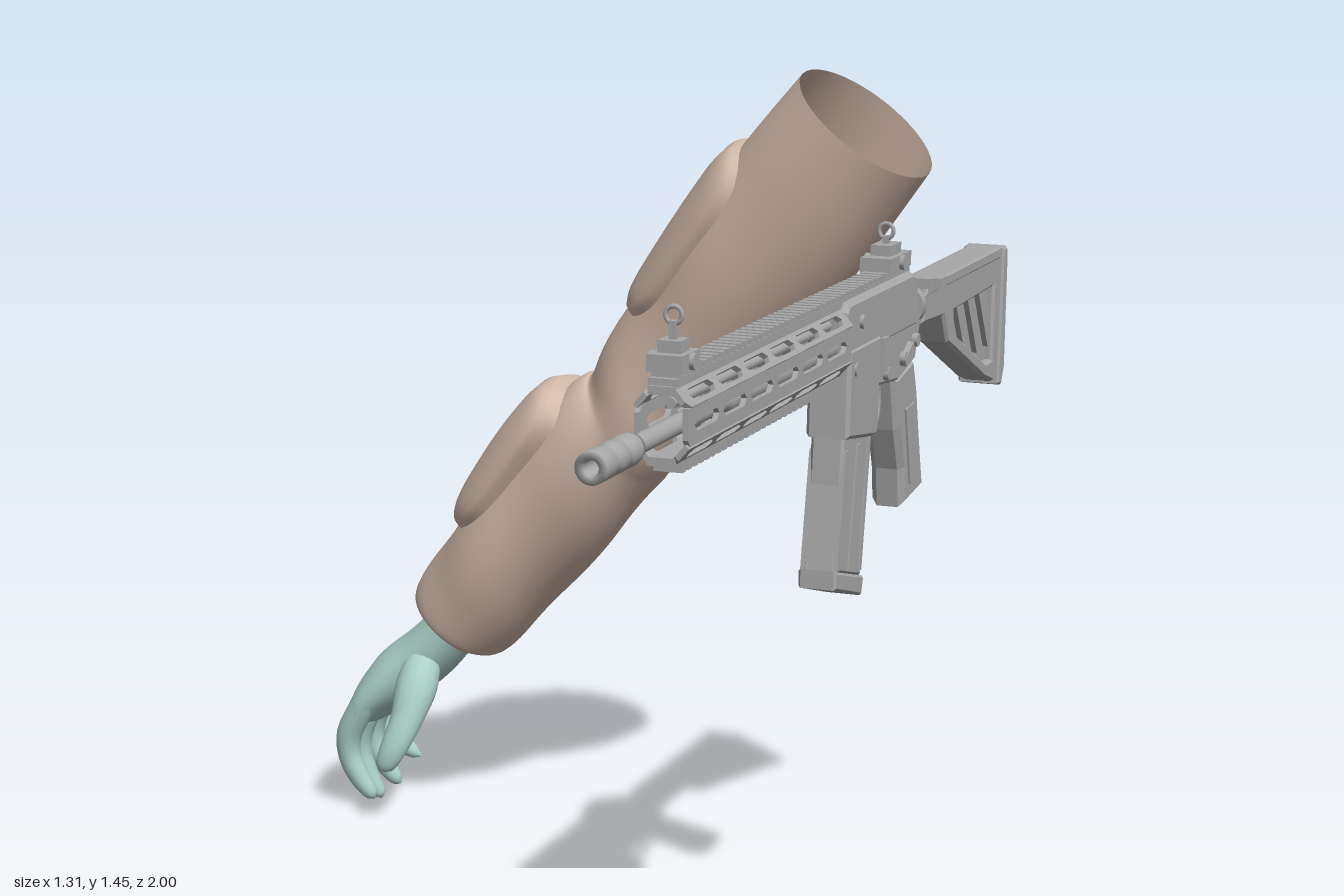
import * as THREE from 'three';

const mat = (name, color, side = THREE.FrontSide) => {
  const m = new THREE.MeshStandardMaterial({ color, side });
  m.name = name;
  return m;
};

// Closed ring grid: fn(u 0..1, angle) -> Vector3, smooth across the seam
function ringGrid(fn, rows, cols) {
  const pos = [], idx = [];
  for (let i = 0; i <= rows; i++)
    for (let j = 0; j < cols; j++) pos.push(...fn(i / rows, (j / cols) * Math.PI * 2).toArray());
  for (let i = 0; i < rows; i++)
    for (let j = 0; j < cols; j++) {
      const k = (j + 1) % cols, a = i * cols + j, b = i * cols + k, c = b + cols, d = a + cols;
      idx.push(a, b, c, a, c, d);
    }
  const g = new THREE.BufferGeometry();
  g.setAttribute('position', new THREE.Float32BufferAttribute(pos, 3));
  g.setIndex(idx);
  g.computeVertexNormals();
  return g;
}

// Surface through elliptical stations [x, y, z, radius, radius along z]
function loft(stations) {
  const path = new THREE.CatmullRomCurve3(stations.map(s => new THREE.Vector3(s[0], s[1], s[2])), false, 'catmullrom');
  const radii = new THREE.CatmullRomCurve3(stations.map(s => new THREE.Vector3(s[3], s[4], 0)), false, 'catmullrom');
  return (t, a, extra = 0) => {
    const d = path.getTangent(t), r = radii.getPoint(t);
    const n = new THREE.Vector3(0, 0, 1).cross(d).normalize(), b = d.clone().cross(n);
    return path.getPoint(t)
      .addScaledVector(n, Math.cos(a) * (Math.max(r.x, 0) + extra))
      .addScaledVector(b, Math.sin(a) * (Math.max(r.y, 0) + extra));
  };
}

function buildArm(cloth, skin) {
  const arm = new THREE.Group();
  arm.name = 'arm';
  const add = (name, geo, m) => {
    const mesh = new THREE.Mesh(geo, m);
    mesh.name = name;
    arm.add(mesh);
  };

  // Sleeve stations: distance up the arm, outer edge, inner edge, z centre, z radius
  const rows = [
    [-0.012, 0.06, -0.055, -0.86, 0.075], [-0.008, 0.085, -0.08, -0.86, 0.095], [0.012, 0.107, -0.1, -0.86, 0.113],
    [0.1, 0.12, -0.107, -0.855, 0.123], [0.22, 0.125, -0.113, -0.85, 0.133], [0.37, 0.13, -0.122, -0.85, 0.143],
    [0.5, 0.118, -0.126, -0.85, 0.146], [0.565, 0.1, -0.128, -0.85, 0.143], [0.66, 0.122, -0.137, -0.85, 0.144],
    [0.81, 0.133, -0.152, -0.84, 0.145], [0.96, 0.14, -0.158, -0.82, 0.147], [1.12, 0.142, -0.155, -0.805, 0.145],
    [1.28, 0.136, -0.145, -0.79, 0.14]];
  const sleeve = loft(rows.map(([s, o, i, z, rz]) => {
    const c = (o + i) / 2;
    return [-0.425 + 0.625 * s - 0.78 * c, 0.37 + 0.78 * s + 0.625 * c, z, (o - i) / 2, rz];
  }));
  const folds = (t, a) => Math.sin(Math.PI * t) * (0.004 * Math.sin(3 * a + 14 * t) + 0.003 * Math.sin(38 * t + 2 * a));
  add('sleeve', ringGrid((t, a) => sleeve(t, a, folds(t, a)), 72, 40), cloth);

  // Raised pads on the outside of the upper arm and forearm
  const toT = s => {
    let i = 2;
    while (i < rows.length - 2 && rows[i + 1][0] < s) i++;
    return (i + (s - rows[i][0]) / (rows[i + 1][0] - rows[i][0])) / (rows.length - 1);
  };
  const soft = v => Math.sign(v) * Math.sqrt(Math.abs(v));
  for (const [name, mid, half, height, rise] of [['upperArmPad', 0.92, 0.195, 0.024, 0.004], ['forearmPad', 0.345, 0.168, 0.04, 0.011]])
    add(name, ringGrid((p, a) => {
      const u = p * soft(Math.cos(a)), v = p * soft(Math.sin(a));
      const lift = (height + rise * u + 0.012) * Math.sqrt(1 - p ** 8) - 0.012;
      return sleeve(toT(mid + half * u), v * 1.03, lift);
    }, 16, 48), cloth);

  // Hand: palm, four curled fingers, thumb
  add('palm', ringGrid(loft([
    [-0.40, 0.42, -0.86, 0.05, 0.072], [-0.44, 0.36, -0.86, 0.052, 0.074], [-0.49, 0.305, -0.86, 0.056, 0.08],
    [-0.545, 0.26, -0.865, 0.056, 0.094], [-0.59, 0.215, -0.868, 0.045, 0.103], [-0.613, 0.18, -0.868, 0.033, 0.1],
    [-0.622, 0.16, -0.868, 0.001, 0.07]]), 30, 24), skin);
  const fingers = [['indexFinger', -0.79, -0.8, 0.93, 0.01], ['middleFinger', -0.845, -0.85, 1, 0],
    ['ringFinger', -0.9, -0.908, 0.93, 0.015], ['littleFinger', -0.945, -0.953, 0.7, 0.04]];
  for (const [name, z0, z1, len, curl] of fingers) {
    const joints = [[0, 0, 0.026], [-0.032, -0.065, 0.025], [-0.036, -0.115, 0.022], [-0.02, -0.16, 0.02], [0.002, -0.195, 0.014], [0.007, -0.207, 0.001]];
    add(name, ringGrid(loft(joints.map(([dx, dy, r], i) =>
      [-0.598 + dx + curl * (i / 5) ** 2, 0.208 + dy * len, z0 + (z1 - z0) * i / 5, r, r])), 24, 14), skin);
  }
  add('thumb', ringGrid(loft([
    [-0.485, 0.32, -0.83, 0.03, 0.03], [-0.48, 0.26, -0.775, 0.04, 0.038], [-0.485, 0.2, -0.735, 0.031, 0.028],
    [-0.5, 0.15, -0.71, 0.026, 0.022], [-0.515, 0.115, -0.702, 0.018, 0.015], [-0.518, 0.105, -0.702, 0.001, 0.001]]), 24, 16), skin);
  return arm;
}

function buildRifle(metal) {
  const gun = new THREE.Group();
  gun.name = 'rifle';
  gun.position.x = 0.576;
  const add = (name, geo, x = 0, y = 0, z = 0) => {
    const mesh = new THREE.Mesh(geo, metal);
    mesh.name = name;
    mesh.position.set(x, y, z);
    gun.add(mesh);
    return mesh;
  };
  const box = (name, w, h, d, x, y, z) => add(name, new THREE.BoxGeometry(w, h, d), x, y, z);
  // Side profile of [z, y] points, extruded across x
  const profile = (pts, width, holes = [], bevel = 0) => {
    const v = list => list.map(p => new THREE.Vector2(p[0], p[1]));
    const shape = new THREE.Shape(v(pts));
    holes.forEach(h => shape.holes.push(new THREE.Path(v(h))));
    const depth = width - 2 * bevel;
    return new THREE.ExtrudeGeometry(shape, { depth, bevelEnabled: bevel > 0, bevelSize: bevel, bevelThickness: bevel, bevelOffset: -bevel, bevelSegments: 1 })
      .translate(0, 0, -depth / 2).rotateY(-Math.PI / 2);
  };
  const turned = pts => new THREE.LatheGeometry(pts.map(p => new THREE.Vector2(p[0], p[1])), 20).rotateX(Math.PI / 2);

  // Barrel and muzzle device
  const Y = 1.114;
  add('barrel', turned([[0, 0], [0.019, 0], [0.019, 0.5], [0.014, 0.51], [0.014, 0.87], [0, 0.87]]), 0, Y, 0);
  add('gasTube', new THREE.CylinderGeometry(0.008, 0.008, 0.7, 10).rotateX(Math.PI / 2), 0, 1.148, 0.36);
  add('muzzleDevice', turned([[0, 0.855], [0.02, 0.855], [0.023, 0.87], [0.023, 0.895], [0.018, 0.9], [0.018, 0.91], [0.023, 0.915],
    [0.023, 0.94], [0.018, 0.945], [0.018, 0.955], [0.023, 0.96], [0.023, 1], [0.011, 1], [0.011, 0.96], [0, 0.96]]), 0, Y, 0);

  // Slotted handguard: two sides and four chamfers
  const slots = [];
  for (let i = 0; i < 6; i++) {
    const z = 0.055 + i * 0.115, h = 0.009;
    slots.push([[z, -h], [z + 0.078, -h], [z + 0.088, 0], [z + 0.078, h], [z, h], [z - 0.01, 0]]);
  }
  const plate = h => profile([[0.02, -h], [0.735, -h], [0.745, -h + 0.01], [0.745, h], [0.02, h]], 0.008, slots);
  for (const a of [0, 0.715, Math.PI - 0.715, Math.PI, Math.PI + 0.715, -0.715]) {
    const flat = Math.abs(Math.sin(a)) < 0.1;
    const p = add('handguardPlate', plate(flat ? 0.027 : 0.0165),
      Math.sign(Math.cos(a)) * (flat ? 0.035 : 0.027), 1.122 + (flat ? 0 : Math.sign(Math.sin(a)) * 0.038), 0);
    p.rotation.z = a;
  }
  for (const s of [-1, 1]) box('handguardStrip', 0.04, 0.012, 0.725, 0, 1.122 + s * 0.049, 0.3825);

  // Toothed rails above and below
  const rail = (z0, z1, y, dir) => {
    const pts = [[z0, y]];
    for (let z = z0; z < z1 - 0.02; z += 0.024)
      pts.push([z, y + dir * 0.02], [z + 0.014, y + dir * 0.02], [z + 0.014, y + dir * 0.011], [z + 0.024, y + dir * 0.011]);
    pts.push([pts[pts.length - 1][0], y]);
    return profile(pts, 0.042);
  };
  add('topRail', rail(-0.34, 0.745, 1.176, 1));
  add('bottomRail', rail(0.03, 0.745, 1.074, -1));

  // Receivers
  add('upperReceiver', profile([[0.025, 1.09], [0.025, 1.17], [0.01, 1.184], [-0.33, 1.184], [-0.36, 1.165], [-0.36, 1.09]], 0.064, [], 0.008));
  add('lowerReceiver', profile([[-0.1, 1.115], [-0.37, 1.14], [-0.385, 1.09], [-0.36, 1.035], [-0.27, 1.015], [-0.1, 1.03]], 0.058, [], 0.005));
  add('magazineWell', profile([[0.008, 1.11], [-0.15, 1.11], [-0.145, 0.955], [-0.13, 0.95], [0.012, 0.97]], 0.07, [], 0.006));
  box('ejectionCover', 0.008, 0.04, 0.12, -0.034, 1.135, -0.11);
  box('boltCatch', 0.012, 0.055, 0.025, 0.033, 1.075, -0.165);
  box('chargingHandle', 0.09, 0.014, 0.04, 0.015, 1.165, -0.355);
  box('chargingLatch', 0.03, 0.018, 0.03, 0.058, 1.163, -0.36);
  const assist = add('forwardAssist', new THREE.CylinderGeometry(0.014, 0.014, 0.09, 12).rotateX(Math.PI / 2), -0.043, 1.12, -0.22);
  assist.rotation.y = 0.35;
  box('brassDeflector', 0.03, 0.03, 0.035, -0.045, 1.12, -0.19);
  const sideLever = box('sideLever', 0.012, 0.022, 0.12, -0.052, 1.11, -0.315);
  sideLever.rotation.y = 0.25;
  for (const [y, z] of [[1.075, -0.02], [1.07, -0.345], [1.145, -0.05], [1.05, -0.28], [1.04, -0.19]])
    add('pin', new THREE.CylinderGeometry(0.011, 0.011, 0.076, 12).rotateZ(Math.PI / 2), 0, y, z);
  const selector = box('selectorLever', 0.078, 0.012, 0.05, 0, 1.055, -0.295);
  selector.rotation.x = 0.5;

  // Magazine with ribs and floor plate
  add('magazine', profile([[0.008, 0.99], [-0.135, 0.97], [-0.128, 0.9], [-0.095, 0.73], [0.04, 0.765], [0.016, 0.88]], 0.054, [], 0.005));
  add('magazineFloor', profile([[0.046, 0.768], [-0.1, 0.73], [-0.09, 0.7], [0.047, 0.738]], 0.062, [], 0.004));
  for (const dz of [0.005, -0.055, -0.11])
    add('magazineRib', profile([[dz, 0.95], [dz - 0.012, 0.95], [dz + 0.022, 0.765 + dz * 0.2], [dz + 0.034, 0.765 + dz * 0.2]], 0.06));

  // Trigger and guard
  add('triggerGuard', new THREE.TorusGeometry(0.05, 0.006, 8, 28).rotateY(Math.PI / 2), 0, 0.985, -0.2);
  const trigger = box('trigger', 0.014, 0.06, 0.012, 0, 1.0, -0.2);
  trigger.rotation.x = -0.2;

  // Pistol grip with side panels
  const grip = [[-0.255, 1.02], [-0.36, 1.04], [-0.385, 0.98], [-0.4, 0.92], [-0.432, 0.81], [-0.32, 0.795], [-0.31, 0.86], [-0.28, 0.93]];
  add('pistolGrip', profile(grip, 0.056, [], 0.01));
  add('gripPanel', profile([[-0.31, 0.96], [-0.36, 0.965], [-0.4, 0.84], [-0.345, 0.83]], 0.062));

  // Stock tube and framed stock
  add('stockTube', new THREE.CylinderGeometry(0.026, 0.026, 0.5, 20).rotateX(Math.PI / 2), 0, 1.118, -0.6);
  add('tubeNut', new THREE.CylinderGeometry(0.034, 0.034, 0.02, 20).rotateX(Math.PI / 2), 0, 1.118, -0.39);
  add('stockFrame', profile([[-0.41, 1.146], [-0.885, 1.148], [-0.885, 0.94], [-0.868, 0.91], [-0.8, 0.93], [-0.56, 1.03], [-0.53, 1.08], [-0.41, 1.085]], 0.054,
    [[[-0.59, 1.08], [-0.845, 1.085], [-0.845, 0.955], [-0.805, 0.955], [-0.6, 1.04]]], 0.005));
  add('stockWeb', profile([[-0.58, 1.09], [-0.855, 1.09], [-0.855, 0.945], [-0.8, 0.945], [-0.585, 1.035]], 0.026));
  for (const z of [-0.62, -0.69, -0.76])
    add('stockRib', profile([[z, 1.085], [z - 0.018, 1.085], [z - 0.09, 0.98], [z - 0.07, 0.98]], 0.044));
  add('buttPad', profile([[-0.865, 1.15], [-0.885, 1.152], [-0.892, 1.14], [-0.892, 0.935], [-0.875, 0.905], [-0.855, 0.91]], 0.074, [], 0.004));
  add('cheekRest', profile([[-0.41, 1.13], [-0.42, 1.15], [-0.885, 1.152], [-0.885, 1.13]], 0.06, [], 0.004));

  // Folding sights
  for (const [name, z, len, top] of [['frontSight', 0.7, 0.07, 1.268], ['rearSight', -0.275, 0.11, 1.255]]) {
    box(name + 'Base', 0.052, 0.024, len, 0, 1.206, z);
    box(name + 'Hinge', 0.034, 0.02, len * 0.5, 0, 1.225, z);
    box(name + 'Post', 0.01, top - 1.225, 0.012, 0, (top + 1.21) / 2, z);
    add(name + 'Ring', new THREE.TorusGeometry(0.012, 0.0035, 8, 18), 0, top, z);
    add(name + 'Knob', new THREE.CylinderGeometry(0.012, 0.012, 0.066, 12).rotateZ(Math.PI / 2), 0, 1.206, z);
  }
  return gun;
}

export function createModel() {
  const model = new THREE.Group();
  model.name = 'armAndRifle';
  model.add(
    buildArm(mat('sleeve cloth', 0xd2b9a9, THREE.DoubleSide), mat('glove', 0xaad0c7)),
    buildRifle(mat('gun metal', 0xa8a8a8)));
  return model;
}
